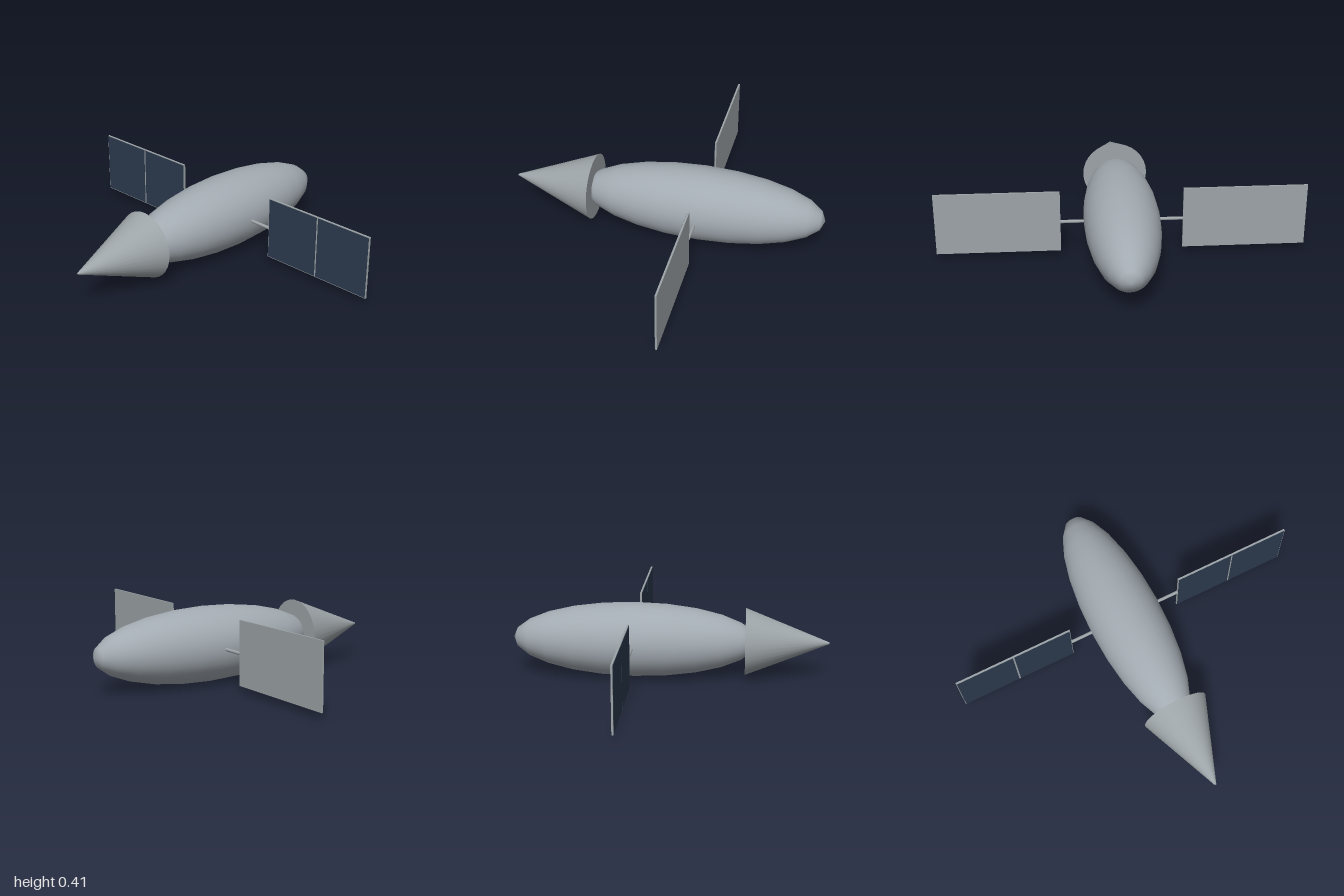
import * as THREE from 'three';

const mat = (name, color) => {
  const m = new THREE.MeshStandardMaterial({ color });
  m.name = name;
  return m;
};

export function createModel() {
  const hullGrey = mat('hull grey', 0xa3abb2);
  const metalGrey = mat('metal grey', 0x9da4a7);
  const cellNavy = mat('cell navy', 0x2c3b4f);
  const model = new THREE.Group();
  model.name = 'satellite';

  const axisY = 0.207;
  const wingZ = -0.197;

  const add = (name, geometry, material, x, y, z, parent = model) => {
    const mesh = new THREE.Mesh(geometry, material);
    mesh.name = name;
    mesh.position.set(x, y, z);
    parent.add(mesh);
    return mesh;
  };

  // Long ellipsoid hull, poles along z
  const hull = new THREE.SphereGeometry(1, 32, 12);
  hull.rotateX(Math.PI / 2);
  hull.scale(0.206, 0.206, 0.68);
  add('hull', hull, hullGrey, 0, axisY, wingZ);

  // Nose cone with a tiny blunt tip
  const nose = new THREE.CylinderGeometry(0.005, 0.185, 0.46, 32);
  nose.rotateX(Math.PI / 2);
  add('noseCone', nose, metalGrey, 0, axisY, 0.645);

  // Solar wings
  for (const side of [1, -1]) {
    const wing = new THREE.Group();
    wing.name = side > 0 ? 'leftWing' : 'rightWing';
    model.add(wing);

    const strut = new THREE.CylinderGeometry(0.009, 0.009, 0.16, 12);
    strut.rotateZ(Math.PI / 2);
    add('strut', strut, metalGrey, side * 0.25, axisY, wingZ, wing);

    add('panel', new THREE.BoxGeometry(0.67, 0.35, 0.01), metalGrey,
      side * 0.665, 0.21, wingZ, wing);

    // Two dark cell plates on the front of the panel
    for (const x of [0.497, 0.833]) {
      add('solarCell', new THREE.BoxGeometry(0.327, 0.342, 0.002), cellNavy,
        side * x, 0.21, wingZ + 0.0055, wing);
    }
  }
  return model;
}
